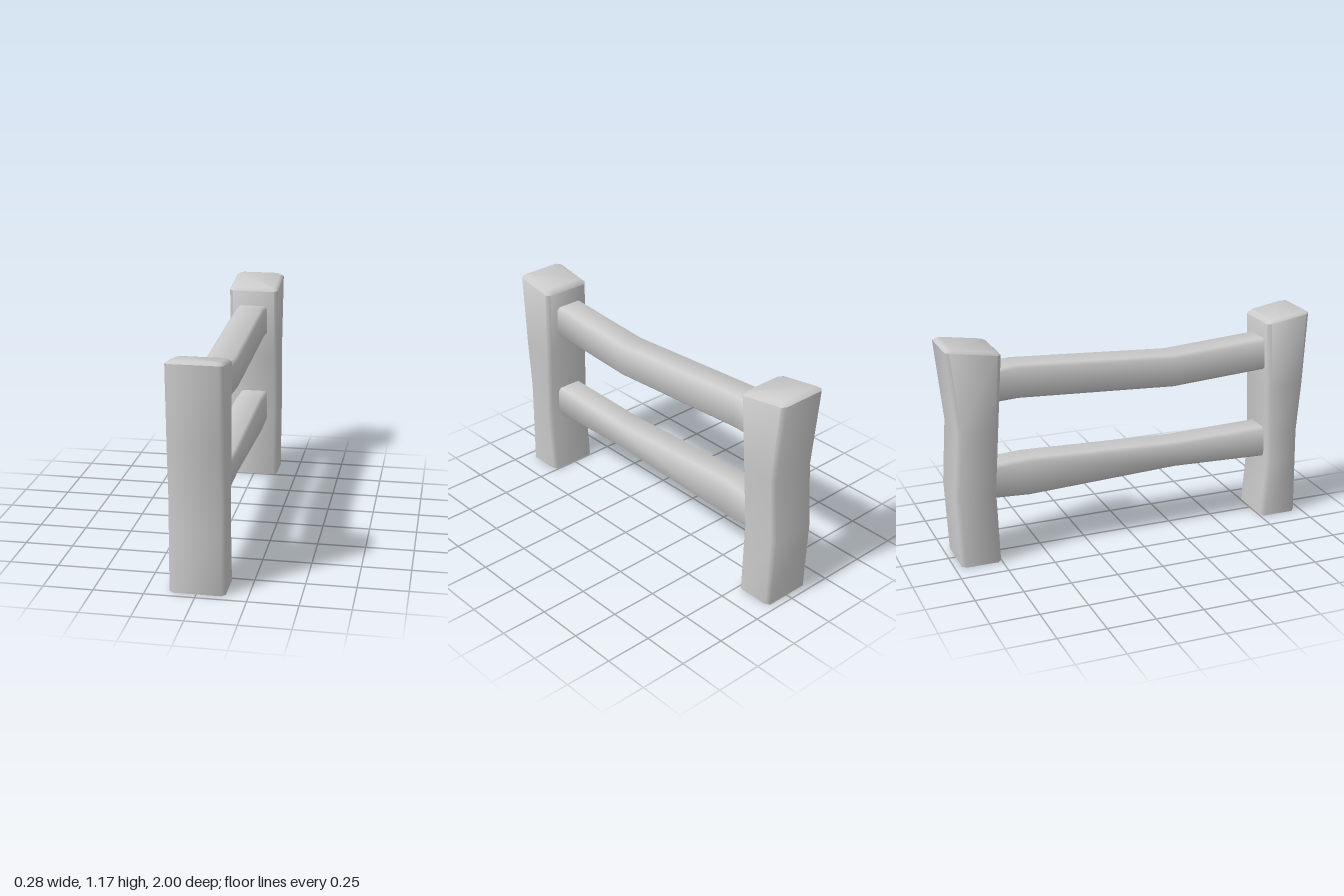
import * as THREE from 'three';
import { toCreasedNormals } from 'three/addons/utils/BufferGeometryUtils.js';

const material = new THREE.MeshStandardMaterial({ color: 0xcccccc, side: THREE.DoubleSide });

// Rectangle with cut corners, counterclockwise in (u, v)
function cutRect(u0, u1, v0, v1, c) {
  return [
    [u0 + c, v0], [u1 - c, v0], [u1, v0 + c], [u1, v1 - c],
    [u1 - c, v1], [u0 + c, v1], [u0, v1 - c], [u0, v0 + c],
  ];
}

// Skin a list of rings; optionally close the last one
function loft(name, rings, capEnd) {
  const n = rings[0].length;
  const index = [];
  for (let r = 0; r < rings.length - 1; r++) {
    for (let i = 0; i < n; i++) {
      const a = r * n + i, b = r * n + (i + 1) % n;
      index.push(a, b, b + n, a, b + n, a + n);
    }
  }
  if (capEnd) {
    const s = (rings.length - 1) * n;
    for (let i = 1; i < n - 1; i++) index.push(s, s + i, s + i + 1);
  }
  const geometry = new THREE.BufferGeometry();
  geometry.setAttribute('position', new THREE.Float32BufferAttribute(rings.flat(2), 3));
  geometry.setIndex(index);
  const mesh = new THREE.Mesh(toCreasedNormals(geometry, 0.9), material);
  mesh.name = name;
  return mesh;
}

// Post: rows of [y at z0, y at z1, z0, z1], then a bevelled sloping top; open underneath
function post(name, x0, x1, rows) {
  const ring = ([y0, y1, z0, z1], inset) =>
    cutRect(z0 + inset, z1 - inset, x0 + inset, x1 - inset, 0.02)
      .map(([z, x]) => [x, THREE.MathUtils.lerp(y0, y1, (z - z0) / (z1 - z0)), z]);
  const rings = rows.map((row) => ring(row, 0));
  const [y0, y1, z0, z1] = rows[rows.length - 1];
  rings.push(ring([y0 + 0.016, y1 + 0.016, z0, z1], 0.018));
  return loft(name, rings, true);
}

// Rail: rows of [z, bottom, top], running towards +z
function rail(name, x0, x1, rows) {
  return loft(name, rows.map(([z, bottom, top]) =>
    cutRect(x0, x1, bottom, top, 0.016).map(([x, y]) => [x, y, z])), false);
}

export function createModel() {
  const group = new THREE.Group();
  group.name = 'fence';

  group.add(post('frontPost', -0.135, 0.14, [
    [0, 0, 0.755, 0.963],
    [0.32, 0.32, 0.78, 0.959],
    [0.48, 0.48, 0.777, 0.957],
    [0.75, 0.75, 0.767, 0.979],
    [1.105, 1.146, 0.755, 1.0],
  ]));
  group.add(post('backPost', -0.14, 0.135, [
    [0, 0, -0.963, -0.752],
    [0.39, 0.39, -0.98, -0.765],
    [0.73, 0.73, -0.957, -0.742],
    [1.157, 1.113, -1.0, -0.716],
  ]));

  group.add(rail('topRail', -0.09, 0.075, [
    [-0.78, 0.852, 1.024],
    [-0.62, 0.861, 1.037],
    [0.235, 0.813, 0.984],
    [0.8, 0.847, 1.021],
  ]));
  group.add(rail('lowerRail', -0.082, 0.075, [
    [-0.8, 0.334, 0.511],
    [-0.57, 0.321, 0.524],
    [0.25, 0.354, 0.493],
    [0.8, 0.335, 0.507],
  ]));
  return group;
}
